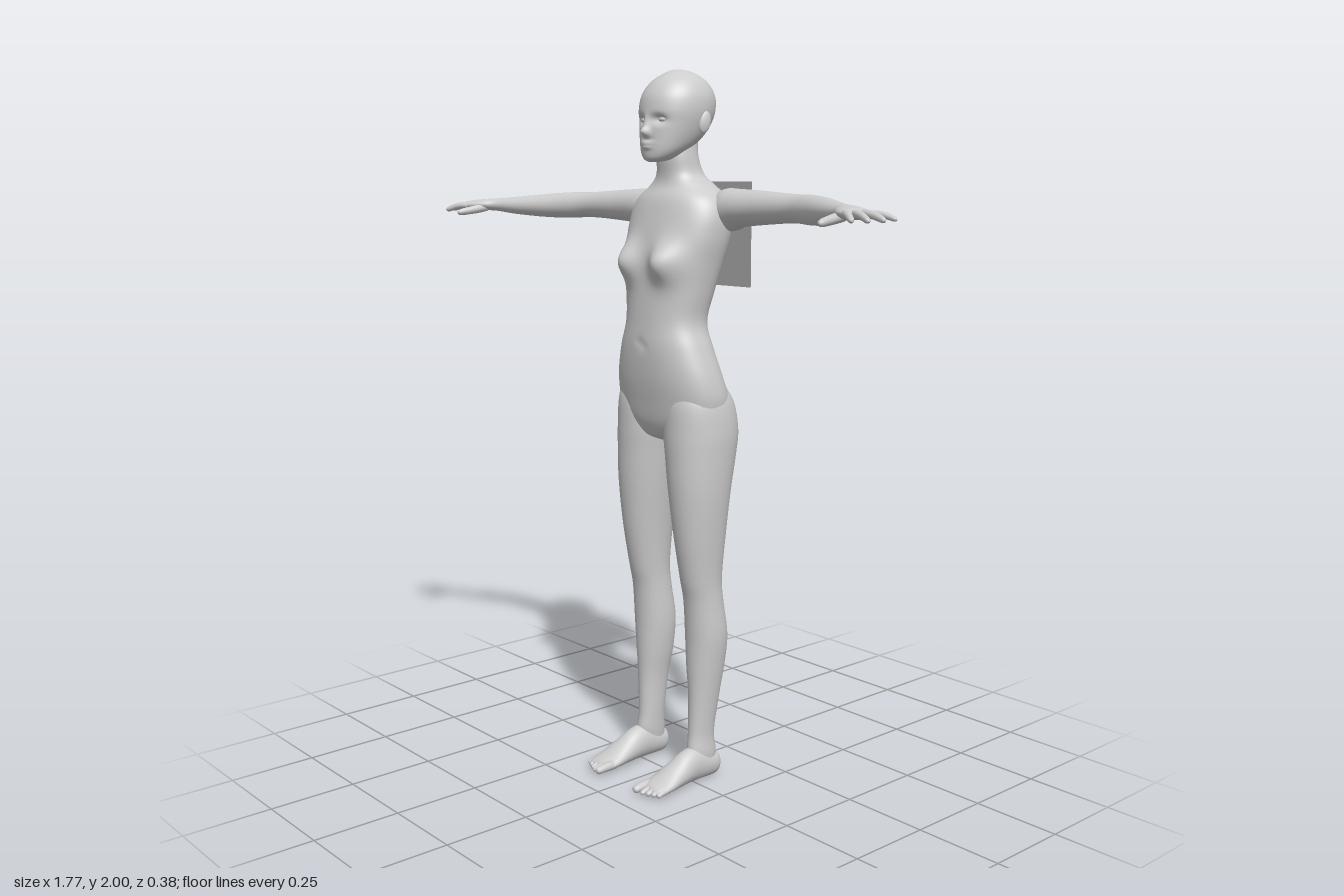
import * as THREE from 'three';

const skin = new THREE.MeshStandardMaterial({ color: 0xcccccc });
skin.name = 'light grey';
const panelGrey = new THREE.MeshStandardMaterial({ color: 0xa8a8a8, side: THREE.DoubleSide });
panelGrey.name = 'mid grey';

// Smooth interpolation through rows of numbers, t in 0..1
function sample(rows, t) {
  const f = t * (rows.length - 1);
  const i = Math.min(Math.floor(f), rows.length - 2);
  const u = f - i;
  const p = rows[Math.max(i - 1, 0)], a = rows[i], b = rows[i + 1];
  const q = rows[Math.min(i + 2, rows.length - 1)];
  return a.map((v, k) => v + 0.5 * u * (b[k] - p[k]
    + u * (2 * p[k] - 5 * v + 4 * b[k] - q[k] + u * (3 * (v - b[k]) + q[k] - p[k]))));
}

// Closed skin over rings; place(t, angle) gives each point
function loft(steps, segs, place) {
  const pos = [], index = [];
  const ends = [new THREE.Vector3(), new THREE.Vector3()];
  for (let i = 0; i <= steps; i++) {
    for (let j = 0; j < segs; j++) {
      const p = place(i / steps, (j / segs) * Math.PI * 2);
      pos.push(p.x, p.y, p.z);
      if (i === 0) ends[0].addScaledVector(p, 1 / segs);
      if (i === steps) ends[1].addScaledVector(p, 1 / segs);
    }
  }
  const last = steps * segs, first = last + segs;
  ends.forEach((e) => pos.push(e.x, e.y, e.z));
  for (let j = 0; j < segs; j++) {
    const k = (j + 1) % segs;
    for (let i = 0; i < steps; i++) {
      const a = i * segs + j, b = i * segs + k;
      index.push(a, b, a + segs, b, b + segs, a + segs);
    }
    index.push(first, k, j, first + 1, last + j, last + k);
  }
  const geo = new THREE.BufferGeometry();
  geo.setAttribute('position', new THREE.Float32BufferAttribute(pos, 3));
  geo.setIndex(index);
  geo.computeVertexNormals();
  return geo;
}

// Upright form: rows are [y, centre x, half width, front z, back z].
// Bumps are [x, y, depth, spread x, spread y] on the front (1) or back (-1).
function upright(rows, steps, segs, power = 2, bumps = []) {
  const shape = (v) => Math.sign(v) * Math.abs(v) ** (2 / power);
  return loft(steps, segs, (t, angle) => {
    const [y, cx, w, zf, zb] = sample(rows, t);
    const s = -shape(Math.sin(angle));
    const x = cx + w * shape(Math.cos(angle));
    let z = (zf + zb) / 2 + (s * (zf - zb)) / 2;
    for (const [face, bx, by, depth, sx, sy] of bumps) {
      const facing = THREE.MathUtils.clamp(s * face * 2, 0, 1);
      z += facing * depth * Math.exp(-(((x - bx) / sx) ** 2) - ((y - by) / sy) ** 2);
    }
    return new THREE.Vector3(x, y, z);
  });
}

// Horizontal limb: rows are [x, y, z, half width, half height]
function limb(rows, steps = 12, segs = 12) {
  const up = new THREE.Vector3(0, 1, 0);
  return loft(steps, segs, (t, angle) => {
    const r = sample(rows, t);
    const a = sample(rows, Math.max(t - 0.01, 0)), b = sample(rows, Math.min(t + 0.01, 1));
    const dir = new THREE.Vector3(b[0] - a[0], b[1] - a[1], b[2] - a[2]).normalize();
    const side = up.clone().cross(dir).normalize();
    const top = dir.clone().cross(side);
    return new THREE.Vector3(r[0], r[1], r[2])
      .addScaledVector(side, r[3] * Math.cos(angle))
      .addScaledVector(top, r[4] * Math.sin(angle));
  });
}

// Rounded finger or toe from a base point to a tip
function digit(from, to, r, drop = 0) {
  const at = (t, k) => {
    const p = from.map((v, i) => v + (to[i] - v) * t);
    return [p[0], p[1] + drop * 4 * t * (1 - t), p[2], r * k, r * k];
  };
  return limb([at(0, 0.9), at(0.3, 1), at(0.6, 0.92), at(0.88, 0.78), at(0.97, 0.48), at(1, 0.08)], 15, 10);
}

function mirrored(geo) {
  const m = geo.clone().scale(-1, 1, 1);
  const ix = m.index.array;
  for (let i = 0; i < ix.length; i += 3) [ix[i], ix[i + 1]] = [ix[i + 1], ix[i]];
  m.computeVertexNormals();
  return m;
}

export function createModel() {
  const model = new THREE.Group();
  model.name = 'standingFigure';
  const add = (name, geo, mat = skin) => {
    const mesh = new THREE.Mesh(geo, mat);
    mesh.name = name;
    model.add(mesh);
  };
  const addPair = (name, geo) => {
    add('left' + name, geo);
    add('right' + name, mirrored(geo));
  };
  const both = (face, x, ...rest) => [[face, x, ...rest], [face, -x, ...rest]];

  // Torso and neck
  add('torso', upright([
    [0.985, 0, 0.03, 0.01, -0.05], [1.0, 0, 0.08, 0.04, -0.08], [1.04, 0, 0.165, 0.06, -0.125],
    [1.1, 0, 0.186, 0.072, -0.135], [1.17, 0, 0.178, 0.083, -0.12], [1.25, 0, 0.152, 0.088, -0.103],
    [1.32, 0, 0.128, 0.084, -0.095], [1.4, 0, 0.138, 0.078, -0.115], [1.48, 0, 0.152, 0.07, -0.14],
    [1.55, 0, 0.165, 0.06, -0.158], [1.61, 0, 0.165, 0.045, -0.165], [1.655, 0, 0.145, 0.03, -0.158],
    [1.69, 0, 0.1, 0.01, -0.14], [1.72, 0, 0.066, 0.005, -0.118], [1.77, 0, 0.056, 0.008, -0.1],
    [1.82, 0, 0.05, 0, -0.1],
  ], 90, 64, 2.3, [
    ...both(1, 0.075, 1.485, 0.045, 0.045, 0.05),
    ...both(-1, 0.085, 1.06, -0.04, 0.06, 0.07),
    [-1, 0, 1.42, 0.012, 0.025, 0.18],
    [1, 0, 1.26, -0.006, 0.01, 0.012],
  ]));

  // Head with the face shaped into it
  add('head', upright([
    [1.752, 0, 0.012, 0.05, 0.03], [1.76, 0, 0.037, 0.062, -0.01], [1.78, 0, 0.058, 0.066, -0.05],
    [1.81, 0, 0.075, 0.066, -0.1], [1.85, 0, 0.089, 0.064, -0.135], [1.89, 0, 0.096, 0.064, -0.152],
    [1.93, 0, 0.092, 0.055, -0.152], [1.965, 0, 0.073, 0.03, -0.132], [1.988, 0, 0.043, -0.005, -0.1],
    [1.998, 0, 0.018, -0.03, -0.07], [2.0, 0, 0.003, -0.045, -0.053],
  ], 80, 88, 2.1, [
    ...both(1, 0.036, 1.864, -0.014, 0.019, 0.012),
    [1, 0, 1.832, 0.02, 0.011, 0.013],
    [1, 0, 1.855, 0.009, 0.009, 0.018],
    [1, 0, 1.802, 0.006, 0.02, 0.006],
    [1, 0, 1.791, 0.006, 0.017, 0.005],
    [1, 0, 1.814, -0.004, 0.02, 0.006],
  ]));
  addPair('Eye', new THREE.SphereGeometry(1, 16, 10).scale(0.014, 0.007, 0.008).translate(0.036, 1.864, 0.041));
  addPair('Ear', new THREE.SphereGeometry(1, 16, 12).scale(0.009, 0.03, 0.018)
    .rotateX(-0.2).rotateY(-0.25).translate(0.092, 1.858, -0.062));

  // Legs
  addPair('Leg', upright([
    [0.03, 0.115, 0.025, -0.02, -0.09], [0.08, 0.113, 0.03, 0.005, -0.09], [0.14, 0.11, 0.03, 0, -0.085],
    [0.25, 0.112, 0.038, -0.002, -0.1], [0.34, 0.111, 0.05, 0, -0.115], [0.43, 0.112, 0.058, 0.002, -0.12],
    [0.53, 0.112, 0.054, 0.01, -0.105], [0.6, 0.112, 0.054, 0.025, -0.1], [0.72, 0.112, 0.065, 0.045, -0.11],
    [0.85, 0.109, 0.08, 0.058, -0.125], [0.95, 0.104, 0.09, 0.062, -0.145], [1.02, 0.1, 0.095, 0.063, -0.155],
    [1.1, 0.1, 0.085, 0.06, -0.14], [1.16, 0.1, 0.06, 0.04, -0.1],
  ], 70, 40, 2.1));

  // Feet and toes
  addPair('Foot', limb([
    [0.115, 0.035, -0.102, 0.008, 0.012], [0.115, 0.036, -0.09, 0.026, 0.034], [0.115, 0.042, -0.05, 0.032, 0.042],
    [0.115, 0.05, 0, 0.035, 0.05], [0.116, 0.036, 0.06, 0.042, 0.036], [0.117, 0.023, 0.11, 0.047, 0.022],
    [0.117, 0.017, 0.145, 0.044, 0.014], [0.116, 0.014, 0.158, 0.03, 0.006],
  ], 36, 28));
  for (let i = 0; i < 5; i++) {
    const x = [0.085, 0.107, 0.124, 0.14, 0.154][i];
    const r = i ? 0.0095 : 0.014;
    addPair('Toe' + (i + 1), digit([x, 0.018, 0.12], [x, r, 0.19 - 0.007 * i], r, 0.003));
  }

  // Arms, with the palm at the end
  addPair('Arm', limb([
    [0.09, 1.625, -0.105, 0.04, 0.045], [0.15, 1.625, -0.105, 0.056, 0.058], [0.2, 1.63, -0.1, 0.054, 0.051],
    [0.3, 1.632, -0.093, 0.045, 0.044], [0.42, 1.632, -0.078, 0.038, 0.037], [0.5, 1.63, -0.055, 0.038, 0.038],
    [0.58, 1.628, -0.018, 0.037, 0.034], [0.66, 1.628, 0.03, 0.03, 0.026], [0.715, 1.63, 0.063, 0.025, 0.019],
    [0.75, 1.63, 0.085, 0.036, 0.017], [0.79, 1.628, 0.107, 0.038, 0.014], [0.808, 1.626, 0.116, 0.025, 0.008],
  ], 66, 32));

  // Fingers and thumb
  const fingers = [
    [[0.775, 1.627, 0.132], [0.835, 1.612, 0.172]], [[0.785, 1.628, 0.117], [0.868, 1.612, 0.152]],
    [[0.794, 1.628, 0.101], [0.886, 1.613, 0.118]], [[0.8, 1.627, 0.086], [0.884, 1.615, 0.075]],
  ];
  fingers.forEach(([a, b], i) => addPair('Finger' + (i + 1), digit(a, b, i === 3 ? 0.0085 : 0.01, 0.006)));
  addPair('Thumb', digit([0.735, 1.622, 0.092], [0.75, 1.606, 0.188], 0.0125));

  // Flat square panel standing behind the shoulders
  add('backPanel', new THREE.PlaneGeometry(0.29, 0.29).rotateY(Math.PI).translate(0, 1.555, -0.19), panelGrey);

  return model;
}
